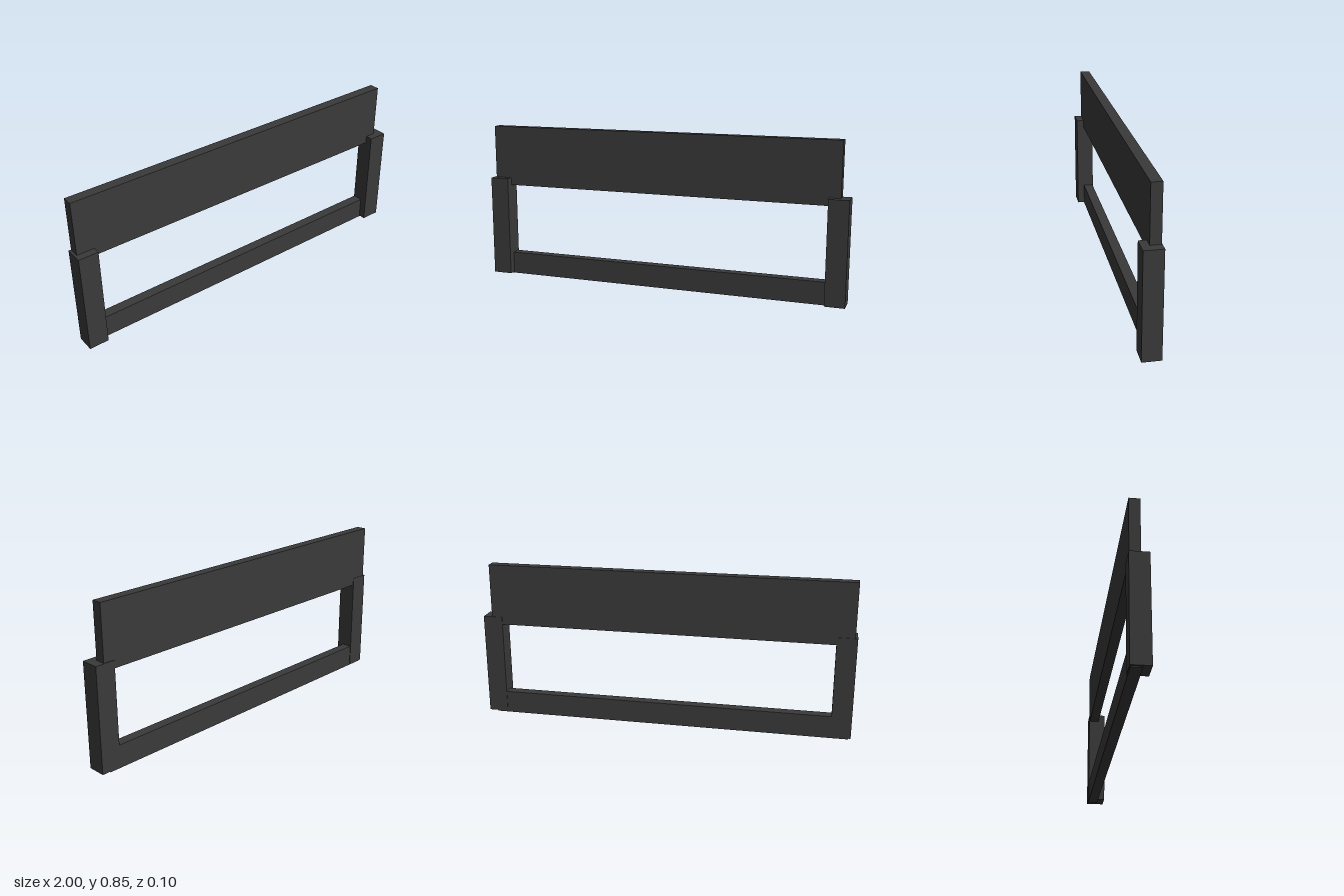
import * as THREE from 'three';

export function createModel() {
  const group = new THREE.Group();
  const material = new THREE.MeshStandardMaterial({ color: 0x3a3a3a, flatShading: true });

  // Box given by its min and max along each axis
  function addBox(name, [x0, x1], [y0, y1], [z0, z1]) {
    const mesh = new THREE.Mesh(new THREE.BoxGeometry(x1 - x0, y1 - y0, z1 - z0), material);
    mesh.position.set((x0 + x1) / 2, (y0 + y1) / 2, (z0 + z1) / 2);
    mesh.name = name;
    group.add(mesh);
  }

  // Horizontal boards, reaching a little further to one side
  const boardX = [-0.988, 0.953];
  const boardZ = [-0.045, 0.009];
  addBox('upperPanel', boardX, [0.515, 0.845], boardZ);
  addBox('lowerRail', boardX, [0, 0.122], boardZ);

  // Upright posts at both ends
  addBox('leftPost', [0.895, 1], [0.006, 0.556], [-0.048, 0.048]);
  addBox('rightPost', [-1, -0.895], [0.006, 0.556], [-0.048, 0.048]);

  return group;
}
